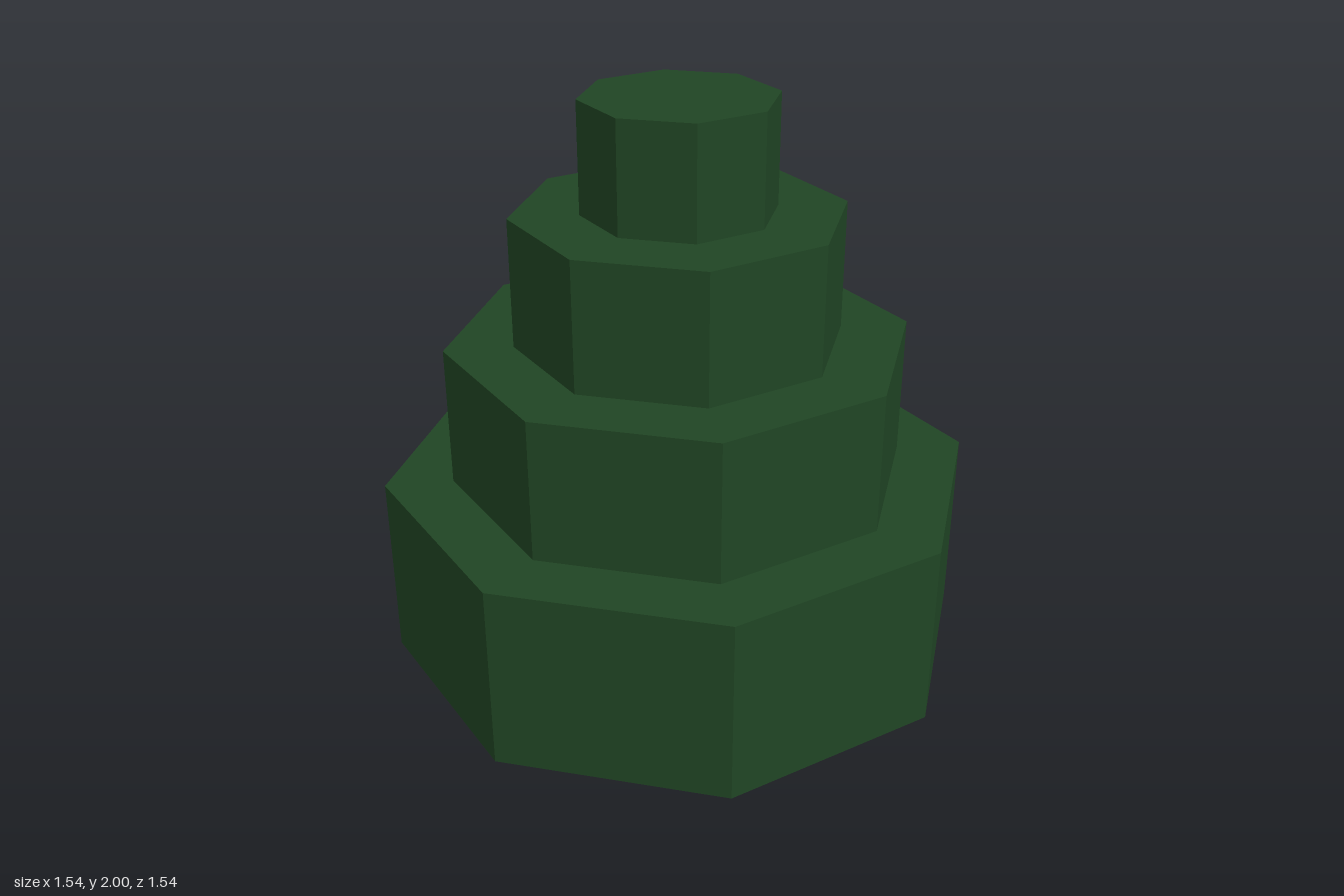
import * as THREE from 'three';

const SIDES = 8;

// Flat-shaded octagonal prism standing between two heights
function prism(name, radius, bottom, top, material) {
  const geometry = new THREE.CylinderGeometry(radius, radius, top - bottom, SIDES);
  const mesh = new THREE.Mesh(geometry, material);
  mesh.name = name;
  mesh.position.y = (bottom + top) / 2;
  return mesh;
}

export function createModel() {
  const tree = new THREE.Group();
  tree.name = 'tree';
  const bark = new THREE.MeshStandardMaterial({ color: 0x3d291d, flatShading: true });
  const leaves = new THREE.MeshStandardMaterial({ color: 0x204524, flatShading: true });

  // Trunk
  tree.add(prism('trunk', 0.087, 0, 0.53, bark));

  // Stacked foliage tiers, each narrower and shorter than the one below
  const foliage = new THREE.Group();
  foliage.name = 'foliage';
  const levels = [0.53, 1.02, 1.387, 1.72, 2];
  for (let i = 0; i < 4; i++) {
    foliage.add(prism(`foliageTier${i + 1}`, 0.77 - i * 0.175, levels[i], levels[i + 1], leaves));
  }
  tree.add(foliage);
  return tree;
}
